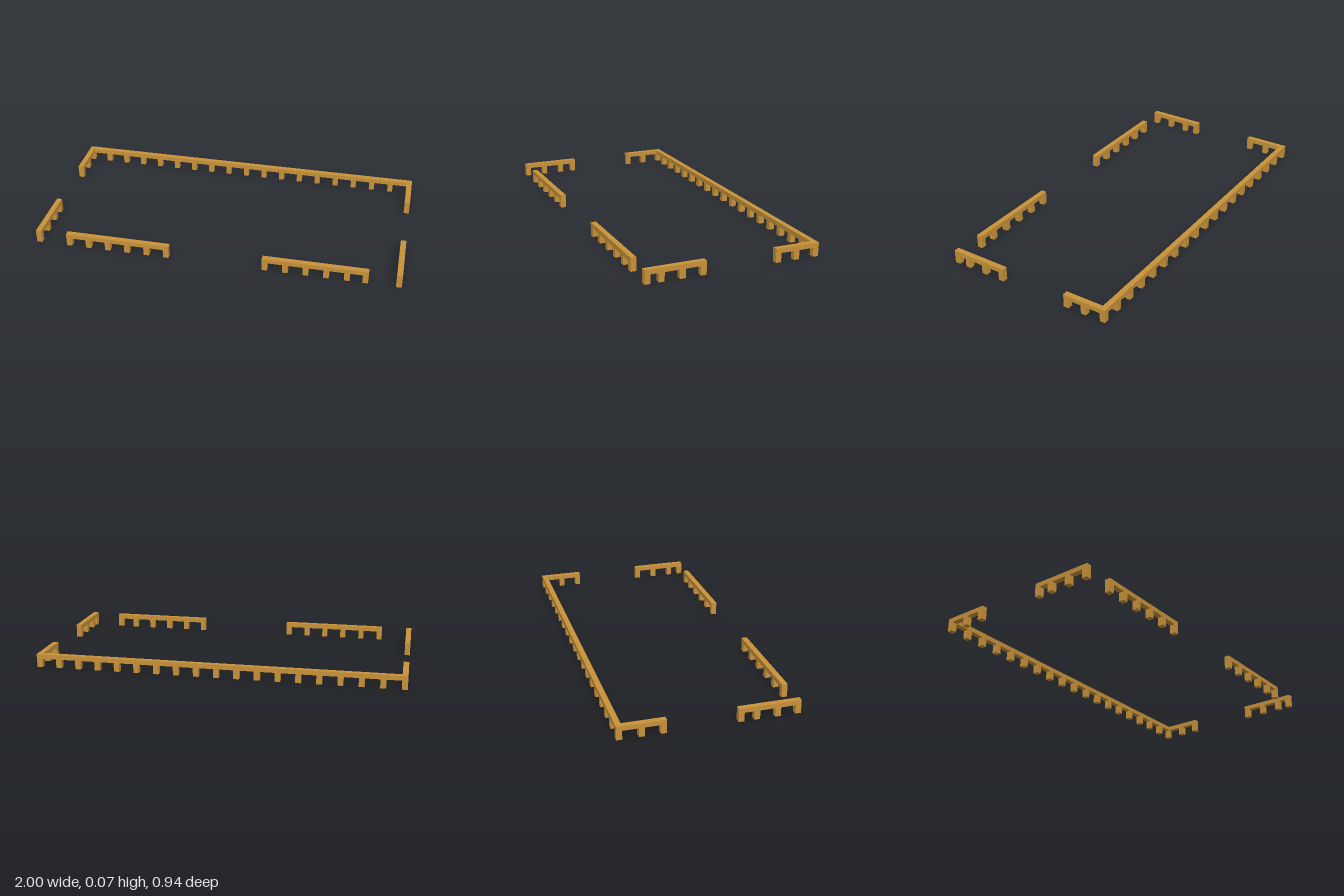
import * as THREE from 'three';

const TOP = 0.073, UNDER = 0.048, T = 0.03; // rail top, rail underside, timber thickness
const wood = new THREE.MeshStandardMaterial({ color: 0xc8923a });

function box(name, w, h, d, x, y, z) {
  const mesh = new THREE.Mesh(new THREE.BoxGeometry(w, h, d), wood);
  mesh.name = name;
  mesh.position.set(x, y, z);
  return mesh;
}

// A straight rail from a to b along one axis, carried by posts at the given positions.
function fence(name, axis, a, b, fixed, posts) {
  const group = new THREE.Group();
  group.name = name;
  const mid = (a + b) / 2, len = b - a, y = (TOP + UNDER) / 2, h = TOP - UNDER;
  group.add(axis === 'x'
    ? box('rail', len, h, T, mid, y, fixed)
    : box('rail', T, h, len, fixed, y, mid));
  for (const p of posts) {
    const [x, z] = axis === 'x' ? [p, fixed] : [fixed, p];
    group.add(box('post', T, UNDER, T, x, UNDER / 2, z));
  }
  return group;
}

// Evenly spaced post positions
const row = (start, step, count) => Array.from({ length: count }, (_, i) => start + i * step);

export function createModel() {
  const model = new THREE.Group();
  model.name = 'fenceEnclosure';
  const step = 0.1094, sideX = 0.985, endZ = 0.457;

  // Long back fence with its two corner returns
  model.add(fence('backFence', 'x', -1, 1, -endZ, row(-sideX, step, 19)));
  model.add(fence('backLeftReturn', 'z', -0.442, -0.228, sideX, [-0.346, -0.243]));
  model.add(fence('backRightReturn', 'z', -0.442, -0.222, -sideX, [-0.346, -0.237]));

  // Side fences towards the front; the odd gap falls at opposite ends
  model.add(fence('frontLeftSide', 'z', 0.151, 0.472, sideX, [...row(0.166, step, 3), endZ]));
  model.add(fence('frontRightSide', 'z', 0.143, 0.472, -sideX, [0.158, ...row(0.24, step, 2), endZ]));

  // Two front fences either side of the entrance
  model.add(fence('frontRightFence', 'x', -0.826, -0.248, endZ, row(-0.811, step, 6)));
  model.add(fence('frontLeftFence', 'x', 0.262, 0.826, endZ, [...row(0.277, step, 5), 0.811]));

  return model;
}
